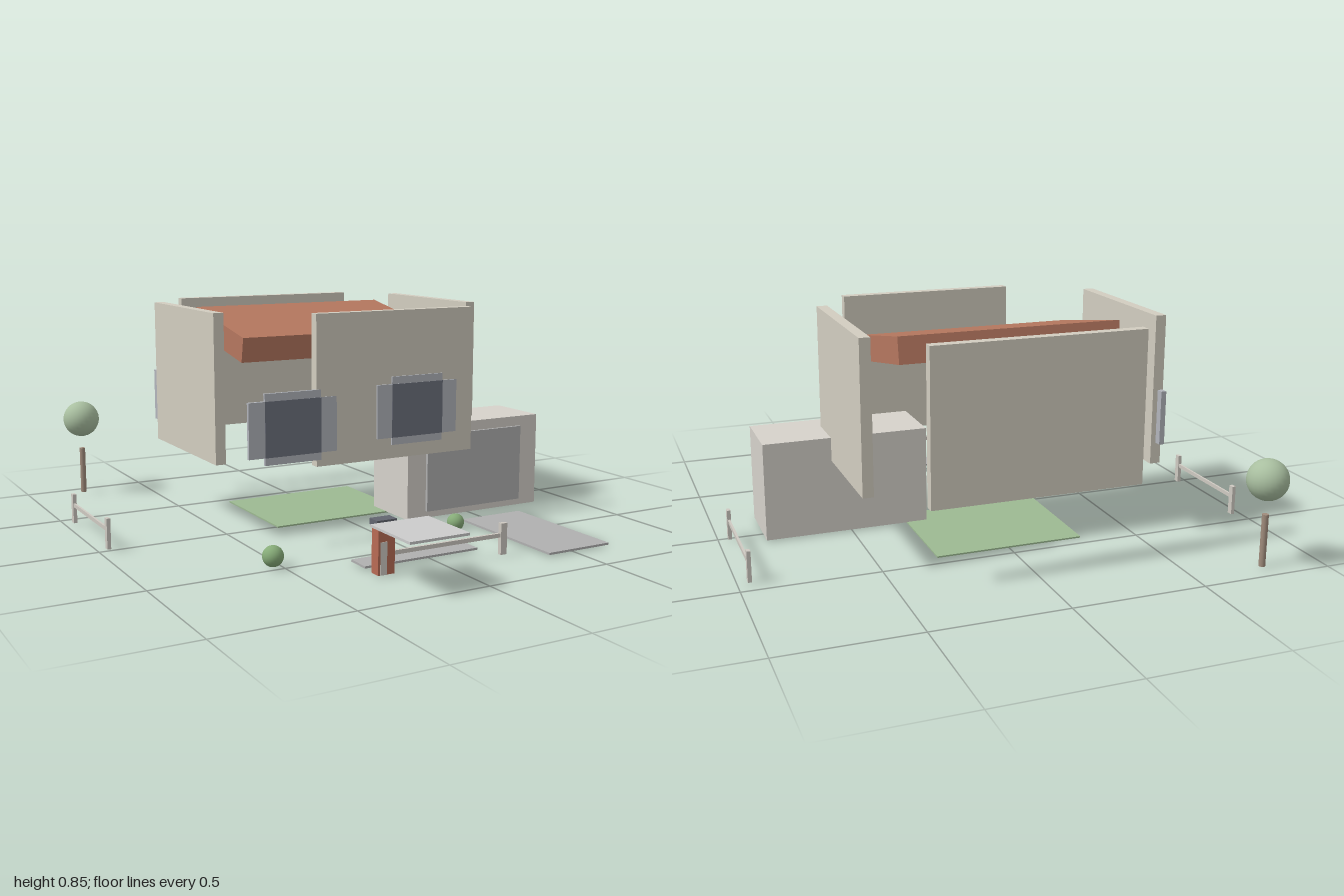
import * as THREE from 'three';

const mat = (color) => new THREE.MeshStandardMaterial({ color });
const M = {
  wall: mat(0xd2cdc0), garage: mat(0xd6d2cb), door: mat(0xb0b0b0), roof: mat(0xb5775f),
  brick: mat(0xb86b55), cap: mat(0x62656f), frame: mat(0xb2b5bc), glass: mat(0x6e727d),
  lawn: mat(0x9dba92), paving: mat(0xb0b0b0), canopy: mat(0xc0c0bc), fence: mat(0xcfcac2),
  trunk: mat(0xa08c7c), crown: mat(0xa9bfa0), shrub: mat(0x86ab78),
};

export function createModel() {
  const model = new THREE.Group();
  model.name = 'explodedHouse';

  // Box given by its low and high limits on each axis
  const box = (name, material, [x0, x1], [y0, y1], [z0, z1], parent = model) => {
    const mesh = new THREE.Mesh(new THREE.BoxGeometry(x1 - x0, y1 - y0, z1 - z0), material);
    mesh.position.set((x0 + x1) / 2, (y0 + y1) / 2, (z0 + z1) / 2);
    mesh.name = name;
    parent.add(mesh);
    return mesh;
  };
  const ball = (name, material, r, x, y, z, parent = model) => {
    const mesh = new THREE.Mesh(new THREE.SphereGeometry(r, 24, 16), material);
    mesh.position.set(x, y, z);
    mesh.name = name;
    parent.add(mesh);
  };
  const group = (name) => {
    const g = new THREE.Group();
    g.name = name;
    model.add(g);
    return g;
  };

  // Walls pulled apart from the house
  const wallY = [0.29, 0.85];
  box('frontWall', M.wall, [-0.26, 0.425], wallY, [0.243, 0.281]);
  box('backWall', M.wall, [-0.395, 0.392], wallY, [-0.72, -0.682]);
  for (const s of [-1, 1]) {
    const x = s * 0.553;
    box(s > 0 ? 'leftWall' : 'rightWall', M.wall, [x - 0.02, x + 0.02], wallY, [-0.525, 0.08]);
  }

  // Tilted roof slab, rising to the back
  const roof = box('roof', M.roof, [-0.42, 0.42], [0.6915, 0.7885], [-0.469, -0.006]);
  roof.rotation.x = Math.atan2(0.085, 0.455);

  // Front windows: tall frame crossed by a wide one, with a dark pane
  const addWindow = (x, y, z0, z1) => {
    const g = group('window');
    box('wideFrame', M.frame, [x - 0.177, x + 0.177], [y - 0.102, y + 0.102], [z0, z1], g);
    box('tallFrame', M.frame, [x - 0.113, x + 0.113], [y - 0.13, y + 0.13], [z0 + 0.001, z1 - 0.001], g);
    box('pane', M.glass, [x - 0.113, x + 0.113], [y - 0.102, y + 0.102], [z0 - 0.001, z1 + 0.001], g);
  };
  addWindow(-0.355, 0.445, 0.27, 0.284);
  addWindow(0.17, 0.472, 0.277, 0.289);
  // Side window set into the wall and showing past its back edge
  box('sideWindow', M.frame, [-0.572, -0.552], [0.37, 0.572], [-0.553, -0.38]);

  // Garage
  box('garage', M.garage, [0.2, 0.83], [0.005, 0.38], [-0.083, 0.178]);
  box('garageDoor', M.door, [0.285, 0.74], [0.032, 0.34], [0.17, 0.19]);

  // Ground pieces
  box('lawn', M.lawn, [-0.29, 0.28], [0, 0.006], [-0.45, 0.015]);
  box('driveway', M.paving, [0.385, 0.66], [0.005, 0.013], [0.295, 0.83]);
  box('path', M.paving, [-0.27, 0.2], [0.005, 0.013], [0.555, 0.65]);

  // Porch canopy and chimney
  box('porchCanopy', M.canopy, [-0.312, -0.083], [0.183, 0.192], [0.755, 1]);
  box('chimney', M.brick, [-0.273, -0.208], [0.005, 0.178], [0.7, 0.743]);
  box('chimneyCap', M.cap, [-0.28, -0.202], [0.175, 0.196], [0.695, 0.746]);

  // Front fence
  const front = group('frontFence');
  for (const x of [-0.252, 0.247])
    box('post', M.fence, [x - 0.013, x + 0.013], [0.005, 0.12], [0.728, 0.745], front);
  box('rail', M.fence, [-0.252, 0.247], [0.069, 0.084], [0.731, 0.741], front);

  // Side fences
  for (const x of [-0.961, 0.957]) {
    const side = group('sideFence');
    for (const z of [-0.432, -0.013])
      box('post', M.fence, [x - 0.007, x + 0.007], [0.005, 0.12], [z - 0.012, z + 0.012], side);
    box('rail', M.fence, [x - 0.004, x + 0.004], [0.069, 0.084], [-0.432, -0.013], side);
  }

  // Tree and shrubs
  const tree = group('tree');
  const trunk = new THREE.Mesh(new THREE.CylinderGeometry(0.012, 0.012, 0.195, 12), M.trunk);
  trunk.position.set(-0.775, 0.1025, -0.925);
  trunk.name = 'trunk';
  tree.add(trunk);
  ball('crown', M.crown, 0.075, -0.775, 0.328, -0.925, tree);
  ball('shrub', M.shrub, 0.038, -0.535, 0.043, 0.477);
  ball('shrub', M.shrub, 0.033, 0.282, 0.038, 0.392);

  return model;
}
